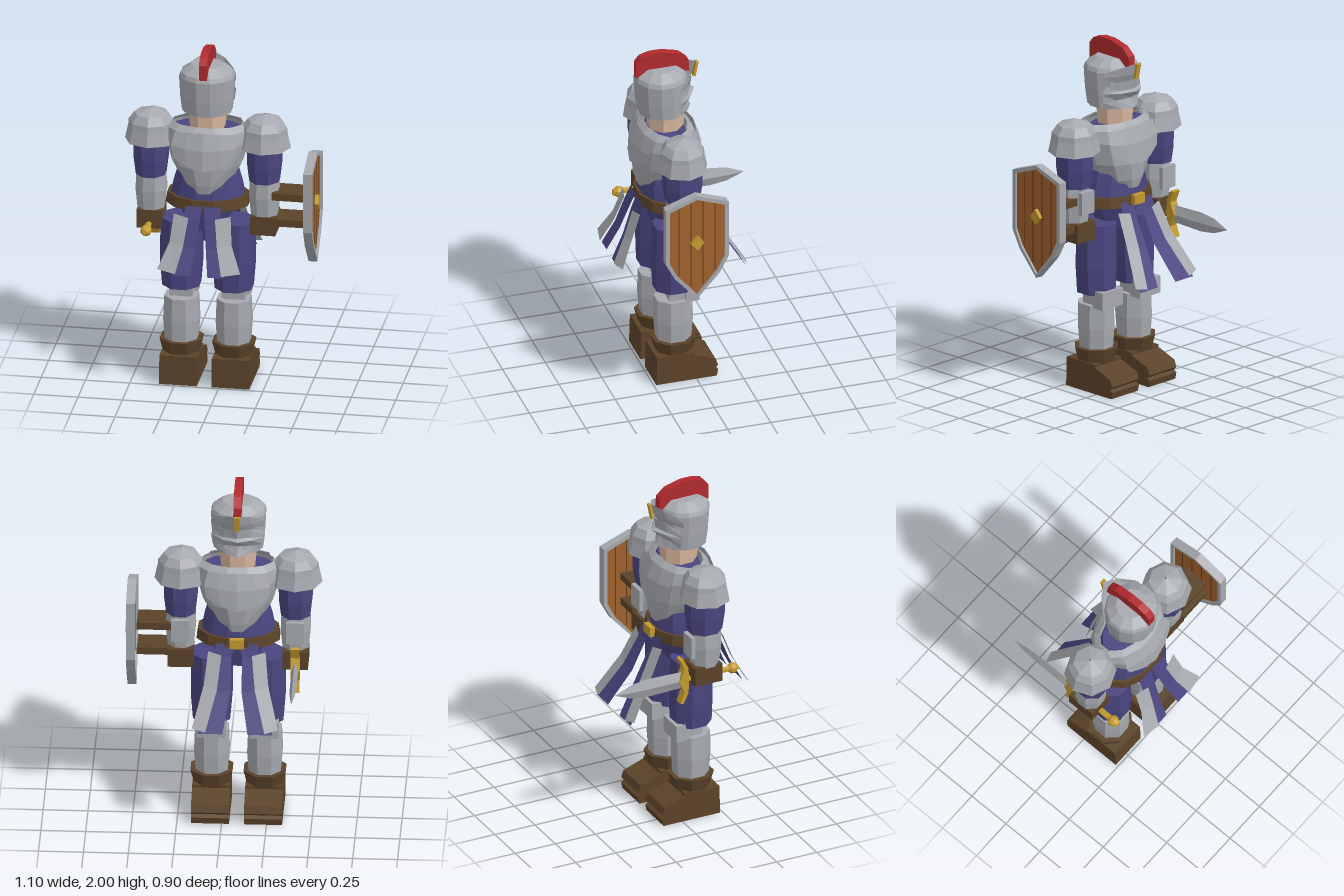
import * as THREE from 'three';

const mat = (name, color) => {
  const m = new THREE.MeshStandardMaterial({ color, flatShading: true, side: THREE.DoubleSide });
  m.name = name;
  return m;
};
const steel = mat('steel', 0xa6a9ae), cloth = mat('purple cloth', 0x4a4580), leather = mat('brown leather', 0x5b4329),
  wood = mat('orange wood', 0xa0622d), groove = mat('dark wood', 0x633c1a), gold = mat('gold', 0xc59a2f),
  red = mat('red plume', 0xb02a2e), skin = mat('skin', 0xdcb9a0);

function add(parent, name, geometry, material, x = 0, y = 0, z = 0) {
  const m = new THREE.Mesh(geometry, material);
  m.name = name;
  m.position.set(x, y, z);
  parent.add(m);
  return m;
}

function fromTriangles(v) {
  const g = new THREE.BufferGeometry();
  g.setAttribute('position', new THREE.Float32BufferAttribute(v.flat(), 3));
  g.computeVertexNormals();
  return g;
}

// Elliptical sections [y, halfX, halfZ, centreZ], joined upwards
function loft(sections, n = 8, caps = true, turn = Math.PI / n) {
  const rings = sections.map(([y, hx, hz, cz = 0]) => Array.from({ length: n }, (_, i) => {
    const a = turn + i / n * Math.PI * 2;
    return [Math.cos(a) * hx, y, cz + Math.sin(a) * hz];
  }));
  const v = [];
  for (let r = 0; r + 1 < rings.length; r++) for (let i = 0; i < n; i++) {
    const j = (i + 1) % n, p = rings[r], q = rings[r + 1];
    v.push(p[i], q[i], p[j], p[j], q[i], q[j]);
  }
  if (caps) for (let i = 0; i < n; i++) {
    const j = (i + 1) % n, f = sections[0], l = sections.at(-1);
    v.push([0, f[0], f[3] ?? 0], rings[0][i], rings[0][j]);
    v.push([0, l[0], l[3] ?? 0], rings.at(-1)[j], rings.at(-1)[i]);
  }
  return fromTriangles(v);
}

// Open plate from rows of points
function sheet(rows) {
  const v = [];
  for (let r = 0; r + 1 < rows.length; r++) for (let i = 0; i + 1 < rows[r].length; i++) {
    const p = rows[r], q = rows[r + 1];
    v.push(p[i], q[i], p[i + 1], p[i + 1], q[i], q[i + 1]);
  }
  return fromTriangles(v);
}

// Plate bent round the body: rows of [halfX, midY, midZ, sideY, sideZ]
function bentPlate(rows) {
  return sheet(rows.map(([hx, my, mz, sy, sz]) => [-1, -0.55, 0, 0.55, 1].map(t => {
    const k = Math.abs(t) ** 1.6;
    return [hx * t, my + (sy - my) * k, mz + (sz - mz) * k];
  })));
}

// Side profile in [z, y], extruded across x
function sideExtrude(points, depth, hole) {
  const s = new THREE.Shape(points.map(p => new THREE.Vector2(...p)));
  if (hole) s.holes.push(new THREE.Path(hole.map(p => new THREE.Vector2(...p))));
  const g = new THREE.ExtrudeGeometry(s, { depth, bevelEnabled: false });
  return g.translate(0, 0, -depth / 2).rotateY(-Math.PI / 2);
}

function buildHead(body) {
  const head = new THREE.Group();
  head.name = 'head';
  body.add(head);
  add(head, 'neck', loft([[1.5, 0.1, 0.1], [1.66, 0.115, 0.115]], 8), skin);
  add(head, 'helmet', loft([[1.63, 0.142, 0.138, 0.02], [1.72, 0.152, 0.145, 0.025], [1.84, 0.158, 0.15, 0.028],
    [1.865, 0.148, 0.14, 0.028], [1.905, 0.09, 0.085, 0.025]], 12), steel);
  add(head, 'plume', sideExtrude([[0.175, 1.86], [0.175, 1.95], [0.145, 1.985], [0.09, 2], [0.02, 2], [-0.08, 1.975],
    [-0.13, 1.93], [-0.135, 1.86], [-0.08, 1.86], [0.1, 1.86]], 0.045), red);
  add(head, 'browPlate', bentPlate([[0.13, 1.9, -0.175, 1.85, -0.07], [0.15, 1.83, -0.155, 1.82, -0.05],
    [0.15, 1.785, -0.13, 1.785, -0.04]]), steel);
  add(head, 'visor', bentPlate([[0.13, 1.805, -0.155, 1.765, -0.06], [0.15, 1.745, -0.145, 1.73, -0.05],
    [0.148, 1.735, -0.17, 1.715, -0.05], [0.142, 1.69, -0.125, 1.67, -0.05], [0.12, 1.63, -0.145, 1.64, -0.06]]), steel);
  add(head, 'browCrest', new THREE.BoxGeometry(0.03, 0.09, 0.015), gold, 0, 1.855, -0.175).rotation.x = -0.2;
}

function buildTorso(body) {
  add(body, 'tunic', loft([[1.1, 0.215, 0.16], [1.2, 0.195, 0.15], [1.3, 0.165, 0.14], [1.45, 0.19, 0.12], [1.525, 0.19, 0.1]], 12), cloth);
  add(body, 'breastplate', loft([[1.17, 0.1, 0.165], [1.22, 0.145, 0.178], [1.32, 0.2, 0.188], [1.45, 0.24, 0.178],
    [1.52, 0.235, 0.15], [1.55, 0.2, 0.115]], 12, false), steel);
  add(body, 'belt', loft([[1.07, 0.24, 0.18], [1.13, 0.23, 0.172]], 12), leather);
  add(body, 'pelvis', loft([[0.92, 0.1, 0.09], [1.08, 0.18, 0.13]], 8), cloth);
  add(body, 'buckle', new THREE.BoxGeometry(0.08, 0.055, 0.03), gold, 0, 1.11, -0.183);
  for (const s of [1, -1]) {
    add(body, s > 0 ? 'rearChestPlate' : 'frontChestPlate', bentPlate([[0.165, 1.535, s * 0.162, 1.525, s * 0.13],
      [0.185, 1.44, s * 0.195, 1.45, s * 0.15], [0.17, 1.32, s * 0.207, 1.38, s * 0.16]]), steel);
  }

  // Split skirt: each row is [y, z, cloth inner, cloth outer, trim inner, trim outer]
  const rear = [[1.1, 0.17, 0.005, 0.1, 0.07, 0.14], [1.03, 0.2, 0.012, 0.105, 0.075, 0.16],
    [0.88, 0.255, 0.03, 0.115, 0.095, 0.175], [0.74, 0.325, 0.05, 0.14, 0.13, 0.235]];
  const front = [[1.1, -0.165, 0.01, 0.12, 0.08, 0.14], [1.03, -0.19, 0.03, 0.125, 0.085, 0.16],
    [0.86, -0.275, 0.03, 0.15, 0.105, 0.18], [0.655, -0.405, 0.07, 0.21, 0.165, 0.24]];
  for (const [side, rows] of [['rear', rear], ['front', front]]) for (const s of [1, -1]) {
    const out = Math.sign(rows[0][1]);
    add(body, side + 'SkirtFlap', sheet(rows.map(([y, z, a, b]) => [[s * a, y, z], [s * b, y, z]])), cloth);
    add(body, side + 'SkirtTrim', sheet(rows.slice(1).map(([y, z, , , a, b]) =>
      [[s * a, y + 0.015, z + out * 0.015], [s * b, y + 0.03, z - out * 0.005]])), steel);
  }
}

function buildArm(body, s) {
  const arm = new THREE.Group();
  arm.name = s > 0 ? 'leftArm' : 'rightArm';
  arm.position.x = s * 0.32;
  body.add(arm);
  add(arm, 'pauldronDome', loft([[1.5, 0.13, 0.13], [1.535, 0.128, 0.125], [1.58, 0.095, 0.095], [1.612, 0.005, 0.005]], 8, false, 0), steel);
  add(arm, 'pauldronSkirt', loft([[1.42, 0.148, 0.145], [1.53, 0.125, 0.122]], 8, false, 0), steel);
  add(arm, 'sleeve', loft([[1.22, 0.088, 0.1], [1.32, 0.1, 0.115], [1.5, 0.105, 0.115]], 8), cloth);
  add(arm, 'vambrace', loft([[1.01, 0.078, 0.08], [1.13, 0.09, 0.094], [1.225, 0.086, 0.09]], 8), steel);
  add(arm, 'elbowPlate', new THREE.BoxGeometry(0.1, 0.13, 0.025), steel, 0, 1.14, -0.095);
  add(arm, 'glove', new THREE.BoxGeometry(0.142, 0.11, 0.17), leather, 0, 0.965, -0.01);
}

function buildLeg(body, s) {
  const leg = new THREE.Group();
  leg.name = s > 0 ? 'leftLeg' : 'rightLeg';
  leg.position.x = s * 0.148;
  body.add(leg);
  add(leg, 'thigh', loft([[0.565, 0.112, 0.118], [0.72, 0.125, 0.122], [0.97, 0.122, 0.118]], 8), cloth);
  add(leg, 'kneeJoint', new THREE.BoxGeometry(0.13, 0.1, 0.1), steel, 0, 0.53, -0.01);
  add(leg, 'kneeCap', new THREE.BoxGeometry(0.16, 0.1, 0.08), steel, 0, 0.54, -0.09);
  add(leg, 'shinGuard', loft([[0.2, 0.094, 0.1], [0.36, 0.106, 0.112], [0.5, 0.1, 0.11]], 8), steel);
  add(leg, 'bootCuff', loft([[0.16, 0.106, 0.106], [0.245, 0.127, 0.13]], 8), leather);
  add(leg, 'boot', sideExtrude([[0.13, 0], [0.125, 0.17], [-0.09, 0.17], [-0.09, 0.155], [-0.215, 0.11], [-0.23, 0.07],
    [-0.21, 0.052], [-0.23, 0.038], [-0.222, 0]], 0.212), leather);
}

function buildSword(body) {
  const sword = new THREE.Group();
  sword.name = 'sword';
  sword.position.set(-0.322, 0.935, 0);
  body.add(sword);
  add(sword, 'blade', loft([[0.15, 0.019, 0.05], [0.36, 0.018, 0.056], [0.46, 0.014, 0.042], [0.56, 0.001, 0.001]], 4, true, 0)
    .rotateX(-Math.PI / 2), steel);
  add(sword, 'grip', loft([[-0.17, 0.018, 0.018], [0.16, 0.018, 0.018]], 6).rotateX(-Math.PI / 2), gold);
  add(sword, 'pommel', loft([[-0.205, 0.015, 0.015], [-0.18, 0.032, 0.03], [-0.16, 0.032, 0.03], [-0.14, 0.016, 0.016]], 8)
    .rotateX(-Math.PI / 2), gold);
  add(sword, 'crossguard', sideExtrude([[-0.14, -0.07], [-0.165, -0.135], [-0.145, -0.14], [-0.115, -0.08], [-0.11, 0],
    [-0.115, 0.08], [-0.145, 0.14], [-0.165, 0.135], [-0.14, 0.07], [-0.17, 0]], 0.05), gold);
}

function buildShield(root) {
  const shield = new THREE.Group();
  shield.name = 'shield';
  shield.position.set(0.51, 1.08, 0.11);
  root.add(shield);
  const outline = [[0, 0.325], [0.183, 0.26], [0.183, -0.09], [0.13, -0.19], [0, -0.335], [-0.13, -0.19], [-0.183, -0.09], [-0.183, 0.26]];
  const inner = outline.map(([z, y]) => [z * 0.88, y * 0.93]);
  add(shield, 'shieldRim', sideExtrude(outline, 0.05, inner), steel);
  add(shield, 'shieldPanel', sideExtrude(inner, 0.024), wood);
  for (const z of [-0.105, -0.035, 0.035, 0.105]) {
    const top = 0.295 - Math.abs(z) * 0.36, bottom = -0.295 + Math.abs(z) * 1.15;
    add(shield, 'plankGroove', new THREE.BoxGeometry(0.028, top - bottom, 0.005), groove, 0, (top + bottom) / 2, z);
  }
  add(shield, 'shieldBoss', sideExtrude([[0, 0.045], [0.037, 0], [0, -0.045], [-0.037, 0]], 0.03), gold, 0.02, 0.025, 0);
  for (const y of [0.07, -0.085])
    add(shield, 'shieldStrap', new THREE.BoxGeometry(0.19, 0.042, 0.16), leather, -0.125, y, 0);
}

export function createModel() {
  const model = new THREE.Group();
  model.name = 'knight';
  const body = new THREE.Group();
  body.name = 'body';
  body.position.set(-0.083, 0, 0.105);
  model.add(body);
  buildHead(body);
  buildTorso(body);
  for (const s of [1, -1]) {
    buildArm(body, s);
    buildLeg(body, s);
  }
  buildSword(body);
  buildShield(model);
  return model;
}
